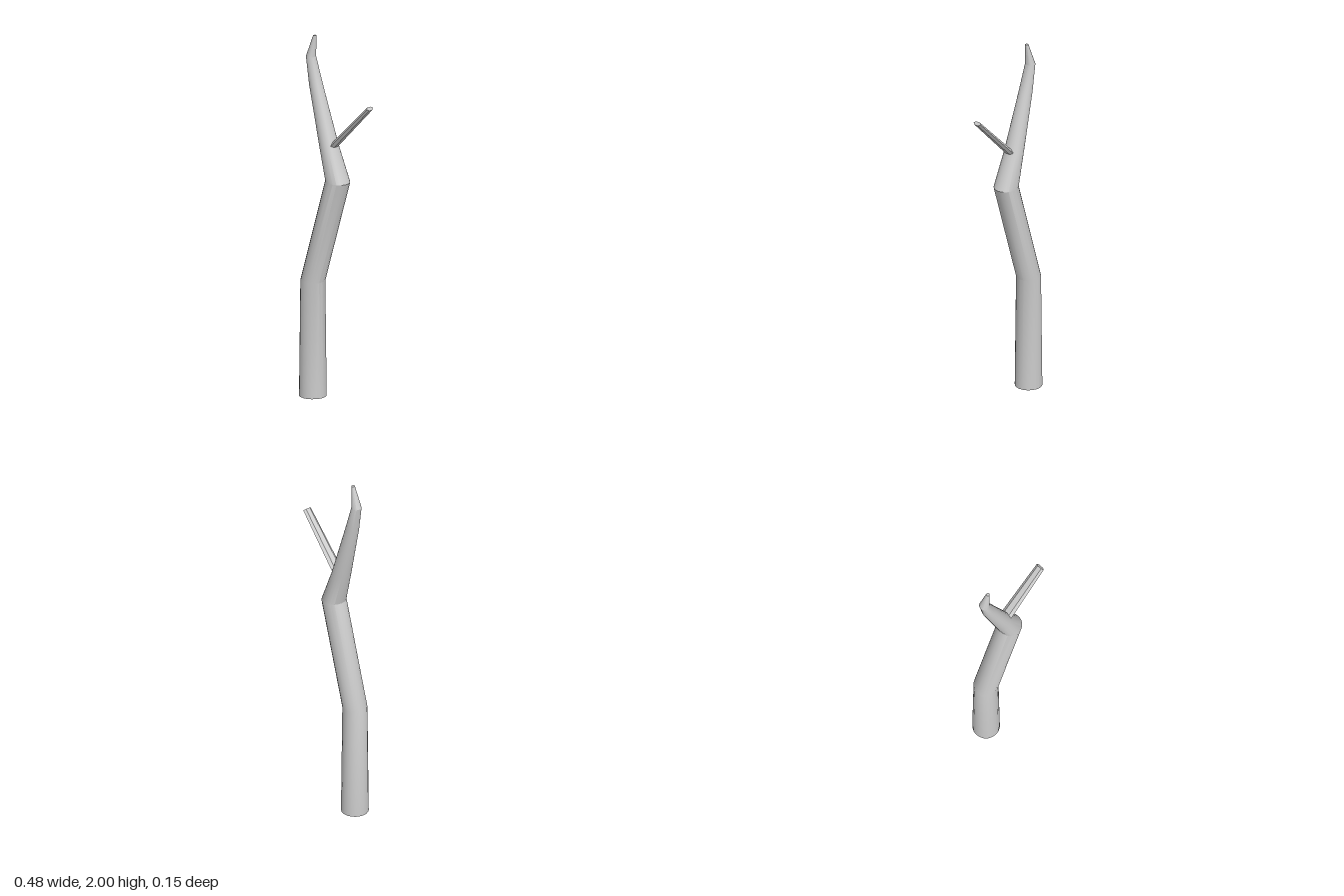
import * as THREE from 'three';
import { toCreasedNormals } from 'three/addons/utils/BufferGeometryUtils.js';

const SIDES = 20;

// Skins a stack of elliptical rings; each ring is [x, y, rx, rz, tilt]
function loft(rings) {
  const pos = [], index = [];
  for (const [x, y, rx, rz, tilt] of rings) {
    for (let i = 0; i < SIDES; i++) {
      const a = (i / SIDES) * Math.PI * 2;
      const c = Math.cos(a) * rx;
      pos.push(x + c, y + c * tilt, Math.sin(a) * rz);
    }
  }
  for (let r = 0; r < rings.length - 1; r++) {
    for (let i = 0; i < SIDES; i++) {
      const j = (i + 1) % SIDES;
      const a = r * SIDES + i, b = r * SIDES + j;
      index.push(a, a + SIDES, b, b, a + SIDES, b + SIDES);
    }
  }
  const geo = new THREE.BufferGeometry();
  geo.setAttribute('position', new THREE.Float32BufferAttribute(pos, 3));
  geo.setIndex(index);
  return toCreasedNormals(geo, 0.42);
}

export function createModel() {
  const group = new THREE.Group();
  const bark = new THREE.MeshStandardMaterial({ color: 0xcccccc });

  // Crooked tapering trunk, with a shallow pointed base and a small blunt tip
  const trunk = new THREE.Mesh(loft([
    [-0.17, 0, 0.0001, 0.0001, 0],
    [-0.17, 0.016, 0.073, 0.073, 0],
    [-0.17, 0.65, 0.066, 0.066, 0],
    [0.005, 1.23, 0.066, 0.066, -0.06],
    [-0.058, 1.42, 0.051, 0.053, 0],
    [-0.147, 1.73, 0.038, 0.036, 0],
    [-0.183, 1.88, 0.026, 0.028, 0],
    [-0.156, 2, 0.009, 0.009, 0],
    [-0.156, 2, 0.0001, 0.0001, 0],
  ]), bark);
  trunk.name = 'trunk';
  group.add(trunk);

  // Thin flattened side branch
  const start = new THREE.Vector3(-0.016, 1.425, 0);
  const end = new THREE.Vector3(0.231, 1.676, 0);
  const geo = new THREE.CylinderGeometry(0.025, 0.032, start.distanceTo(end), 6);
  geo.scale(0.48, 1, 1);
  const twig = new THREE.MeshStandardMaterial({ color: 0xcccccc, flatShading: true });
  const branch = new THREE.Mesh(geo, twig);
  branch.position.copy(start).lerp(end, 0.5);
  branch.rotation.z = Math.atan2(end.y - start.y, end.x - start.x) - Math.PI / 2;
  branch.name = 'sideBranch';
  group.add(branch);

  return group;
}
